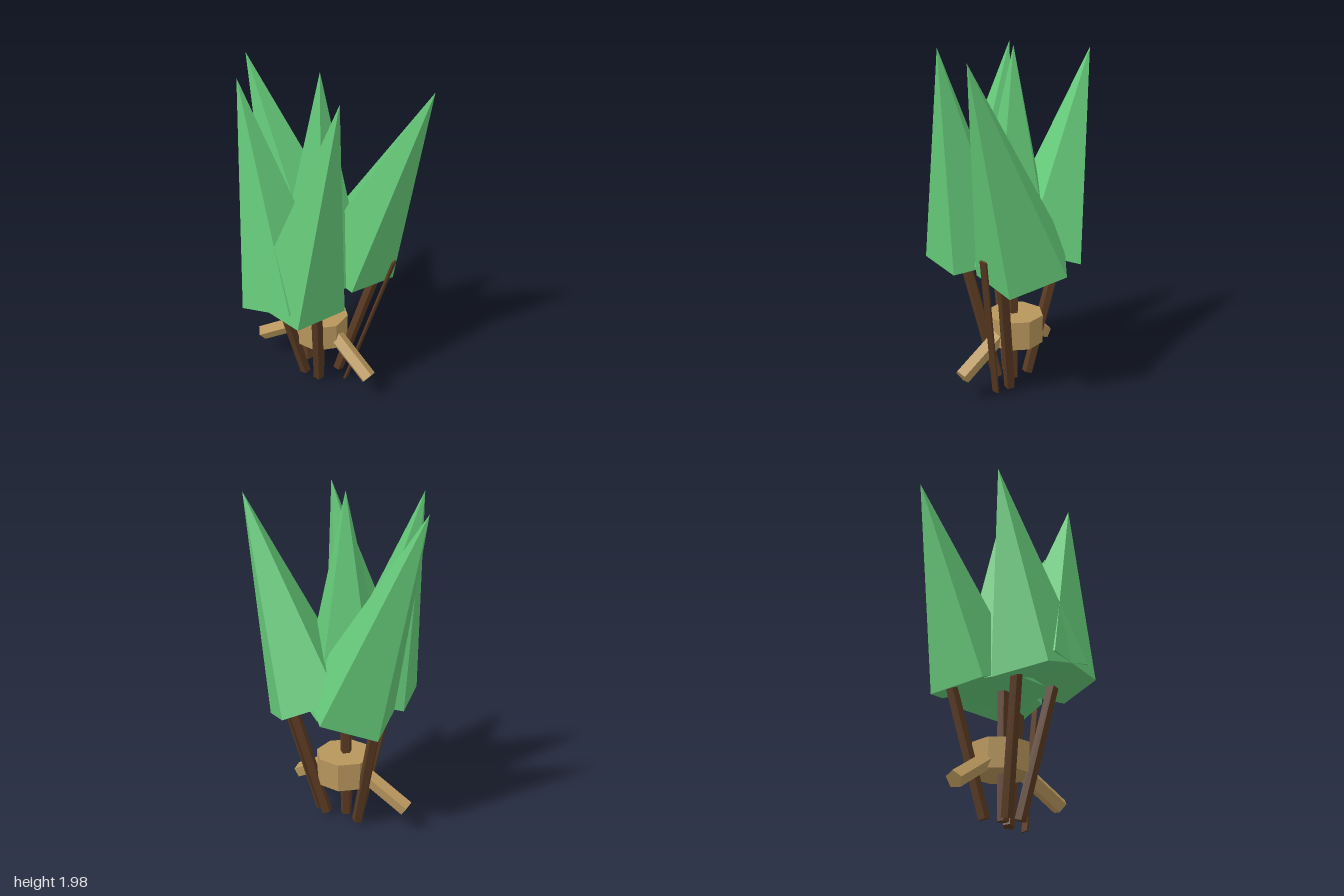
import * as THREE from 'three';

export function createModel() {
  const model = new THREE.Group();
  const material = (name, color) => {
    const m = new THREE.MeshStandardMaterial({ color });
    m.name = name;
    return m;
  };
  const leafGreen = material('leafGreen', 0x64c878);
  const barkBrown = material('barkBrown', 0x5a3a22);
  const paleWood = material('paleWood', 0xb8965c);
  const up = new THREE.Vector3(0, 1, 0);

  // Faceted prism or cone whose axis runs from point a to point b
  function spar(name, mat, a, b, rBottom, rTop, sides, start = Math.PI) {
    const from = new THREE.Vector3(...a);
    const axis = new THREE.Vector3(...b).sub(from);
    const length = axis.length();
    const geo = new THREE.CylinderGeometry(rTop, rBottom, length, sides, 1, false, start).toNonIndexed();
    geo.computeVertexNormals();
    return place(name, mat, geo, from, axis);
  }
  function place(name, mat, geo, from, axis) {
    const mesh = new THREE.Mesh(geo, mat);
    mesh.name = name;
    mesh.position.copy(from).addScaledVector(axis, 0.5);
    mesh.quaternion.setFromUnitVectors(up, axis.clone().normalize());
    model.add(mesh);
    return mesh;
  }

  // Five trees: trunk foot, trunk top, crown base centre, crown tip
  const trees = [
    ['centre', [0, 0.03, -0.03], [0, 0.85, -0.03], [0, 0.76, -0.03], [0, 1.99, -0.03]],
    ['frontLeft', [0.05, 0.03, 0.05], [0.15, 0.82, 0.23], [0.037, 0.775, 0.25], [0.297, 1.98, 0.25]],
    ['frontRight', [-0.05, 0.03, 0.05], [-0.15, 0.82, 0.23], [-0.017, 0.775, 0.25], [-0.317, 1.98, 0.25]],
    ['backLeft', [0.105, 0.03, -0.09], [0.295, 0.79, -0.19], [0.107, 0.805, -0.2], [0.57, 1.95, -0.2]],
    ['backRight', [-0.105, 0.03, -0.06], [-0.295, 0.79, -0.15], [-0.107, 0.805, -0.145], [-0.57, 1.95, -0.145]],
  ];
  for (const [name, foot, top, base, tip] of trees) {
    spar(name + 'Trunk', barkBrown, foot, top, 0.034, 0.034, 5);
    spar(name + 'Crown', leafGreen, base, tip, 0.28, 0, 5);
  }

  // Octagonal hub around the trunks
  spar('hub', paleWood, [0, 0.28, -0.045], [0, 0.45, -0.045], 0.168, 0.168, 8, Math.PI / 8);

  // Sloping arms, mirrored, with one edge uppermost
  for (const s of [1, -1]) {
    spar(s > 0 ? 'leftArm' : 'rightArm', paleWood,
      [s * 0.13, 0.335, -0.02], [s * 0.394, 0.167, 0.028], 0.049, 0.049, 5, -s * Math.PI / 2);
  }

  // Thin flat stick leaning beside the left arm
  const stickFoot = new THREE.Vector3(0.187, 0.01, -0.05);
  const stickAxis = new THREE.Vector3(0.42, 0.91, -0.162).sub(stickFoot);
  place('stick', barkBrown, new THREE.BoxGeometry(0.012, stickAxis.length(), 0.042), stickFoot, stickAxis);

  return model;
}
